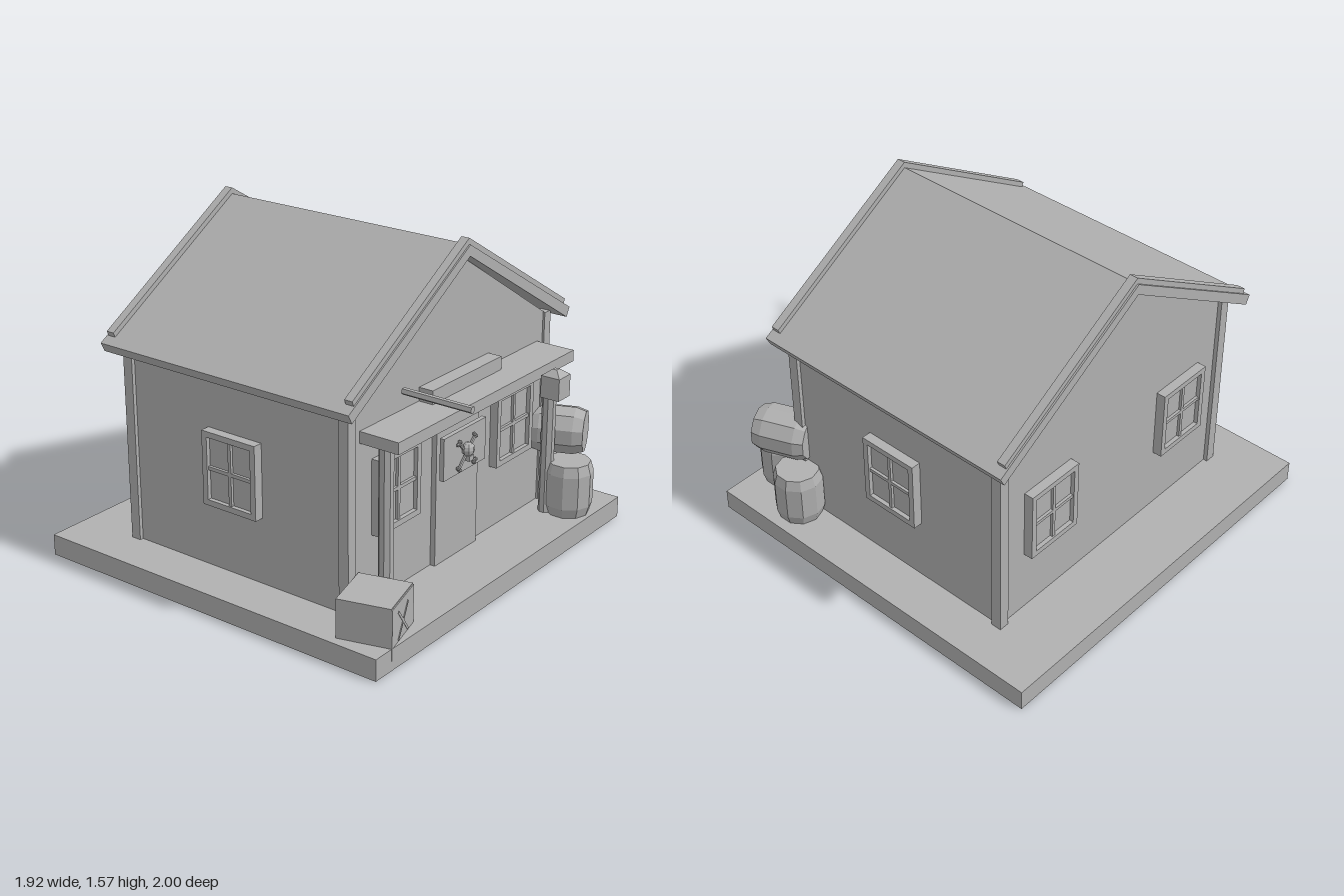
import * as THREE from 'three';

const gray = new THREE.MeshStandardMaterial({ color: 0xb0b0b0, flatShading: true });
gray.name = 'plain gray';

function add(parent, name, geometry, x = 0, y = 0, z = 0) {
  const mesh = new THREE.Mesh(geometry, gray);
  mesh.name = name;
  mesh.position.set(x, y, z);
  parent.add(mesh);
  return mesh;
}

// Box given by its lower and upper limits on each axis
function block(parent, name, x0, x1, y0, y1, z0, z1) {
  return add(parent, name, new THREE.BoxGeometry(x1 - x0, y1 - y0, z1 - z0),
    (x0 + x1) / 2, (y0 + y1) / 2, (z0 + z1) / 2);
}

// Outline in x and y, pushed from z0 to z1
function prism(parent, name, points, z0, z1) {
  const shape = new THREE.Shape(points.map(([x, y]) => new THREE.Vector2(x, y)));
  return add(parent, name, new THREE.ExtrudeGeometry(shape, { depth: z1 - z0, bevelEnabled: false }), 0, 0, z0);
}

// Roof-like band: right half of the outline, mirrored over the ridge
function chevron(parent, name, topY, outer, inner, bottomY, z0, z1) {
  return prism(parent, name, [[0, topY], [-outer[0], outer[1]], [-inner[0], inner[1]],
    [0, bottomY], inner, outer], z0, z1);
}

// Four-pane window facing +z, its back at z = 0
function addWindow(parent, x, y, z, turn) {
  const g = new THREE.Group();
  g.name = 'window';
  const w = 0.295, h = 0.345, b = 0.027;
  block(g, 'windowPanel', -w / 2, w / 2, -h / 2, h / 2, 0, 0.025);
  const iw = w / 2 - b, ih = h / 2 - b;
  for (const s of [-1, 1]) {
    add(g, 'windowStile', new THREE.BoxGeometry(b, h, 0.045), s * (w / 2 - b / 2), 0, 0.0225);
    add(g, 'windowRail', new THREE.BoxGeometry(iw * 2, b, 0.045), 0, s * (h / 2 - b / 2), 0.0225);
  }
  block(g, 'verticalBar', -0.008, 0.008, -ih, ih, 0, 0.038);
  block(g, 'crossBar', -iw, iw, -0.008, 0.008, 0, 0.038);
  g.position.set(x, y, z);
  g.rotation.y = turn;
  parent.add(g);
}

// Ten-sided barrel centred on its own axis
function addBarrel(parent, x, y, z) {
  const profile = [[0, -0.128], [0.1, -0.128], [0.115, -0.08], [0.115, 0.08], [0.1, 0.128], [0, 0.128]];
  return add(parent, 'barrel',
    new THREE.LatheGeometry(profile.map(p => new THREE.Vector2(...p)), 10), x, y, z);
}

export function createModel() {
  const model = new THREE.Group();
  model.name = 'tavern';

  // Deck and house body
  block(model, 'deck', -0.96, 0.96, 0, 0.1, -1, 0.835);
  prism(model, 'walls', [[-0.74, 0.1], [0.74, 0.1], [0.74, 1.02], [0, 1.49], [-0.74, 1.02]], -0.68, 0.53);
  for (const s of [-1, 1]) {
    for (const z of [-0.675, 0.515]) {
      add(model, 'cornerPost', new THREE.BoxGeometry(0.05, 0.935, 0.05), s * 0.733, 0.5675, z);
    }
  }

  // Roof and the boards along its gable edges
  chevron(model, 'roof', 1.54, [0.828, 1.043], [0.806, 1.0], 1.49, -0.763, 0.597);
  for (const z of [-0.755, 0.55]) {
    chevron(model, 'gableBoard', 1.568, [0.795, 1.09], [0.785, 1.065], 1.53, z, z + 0.04);
  }

  // Door and windows
  block(model, 'door', -0.16, 0.16, 0.1, 0.78, 0.5, 0.555);
  for (const s of [-1, 1]) {
    addWindow(model, s * 0.44, 0.585, 0.525, 0);
    addWindow(model, s * 0.44, 0.585, -0.68, Math.PI);
    addWindow(model, s * 0.74, 0.585, -0.08, s * Math.PI / 2);
  }

  // Porch canopy with its posts and name board
  block(model, 'canopy', -0.67, 0.665, 0.855, 0.908, 0.52, 0.725);
  block(model, 'nameBoard', -0.26, 0.26, 0.81, 0.97, 0.52, 0.6);
  for (const s of [-1, 1]) {
    add(model, 'porchPost', new THREE.CylinderGeometry(0.033, 0.033, 0.76, 8).rotateY(Math.PI / 8),
      s * 0.625, 0.48, 0.632);
  }

  // Hanging sign on a pole, with crossed bones and a skull
  add(model, 'signPole', new THREE.CylinderGeometry(0.016, 0.016, 0.335, 5).rotateX(Math.PI / 2), -0.545, 1.073, 0.822);
  block(model, 'signBoard', -0.69, -0.4, 0.81, 0.99, 0.937, 0.957);
  const emblem = new THREE.Group();
  emblem.name = 'skullEmblem';
  emblem.position.set(-0.545, 0.89, 0.967);
  for (const s of [-1, 1]) {
    const bone = new THREE.Group();
    bone.name = 'bone';
    bone.rotation.z = s * Math.PI / 4;
    add(bone, 'boneShaft', new THREE.CylinderGeometry(0.007, 0.007, 0.155, 6));
    for (const e of [-1, 1]) {
      for (const k of [-1, 1]) add(bone, 'boneKnob', new THREE.IcosahedronGeometry(0.01, 0), k * 0.007, e * 0.078, 0);
    }
    emblem.add(bone);
  }
  add(emblem, 'skull', new THREE.SphereGeometry(0.03, 8, 6), 0, 0.015, 0.005).scale.set(1, 0.95, 0.9);
  add(emblem, 'jaw', new THREE.BoxGeometry(0.03, 0.022, 0.028), 0, -0.02, 0.008);
  model.add(emblem);

  // Lantern
  block(model, 'lanternBody', 0.35, 0.443, 0.785, 0.888, 0.75, 0.843);
  add(model, 'lanternCap', new THREE.CylinderGeometry(0.016, 0.066, 0.027, 4).rotateY(Math.PI / 4), 0.3965, 0.9015, 0.7965);

  // Crate with a crossed front board
  const crate = new THREE.Group();
  crate.name = 'crate';
  crate.position.set(-0.77, 0.1, 0.684);
  crate.rotation.y = 0.27;
  block(crate, 'crateBody', -0.123, 0.123, 0, 0.18, -0.12, 0.12);
  block(crate, 'crateFront', -0.123, 0.123, -0.055, 0.175, 0.119, 0.125);
  for (const s of [-1, 1]) {
    add(crate, 'crateBrace', new THREE.BoxGeometry(0.17, 0.012, 0.006), 0, 0.07, 0.124).rotation.z = s * 0.87;
  }
  model.add(crate);

  // Barrels: two standing, one lying across them
  addBarrel(model, 0.69, 0.228, 0.715);
  addBarrel(model, 0.813, 0.228, 0.485);
  const lying = addBarrel(model, 0.755, 0.465, 0.61);
  lying.rotation.set(Math.PI / 2, 0.38, 0, 'YXZ');

  return model;
}
